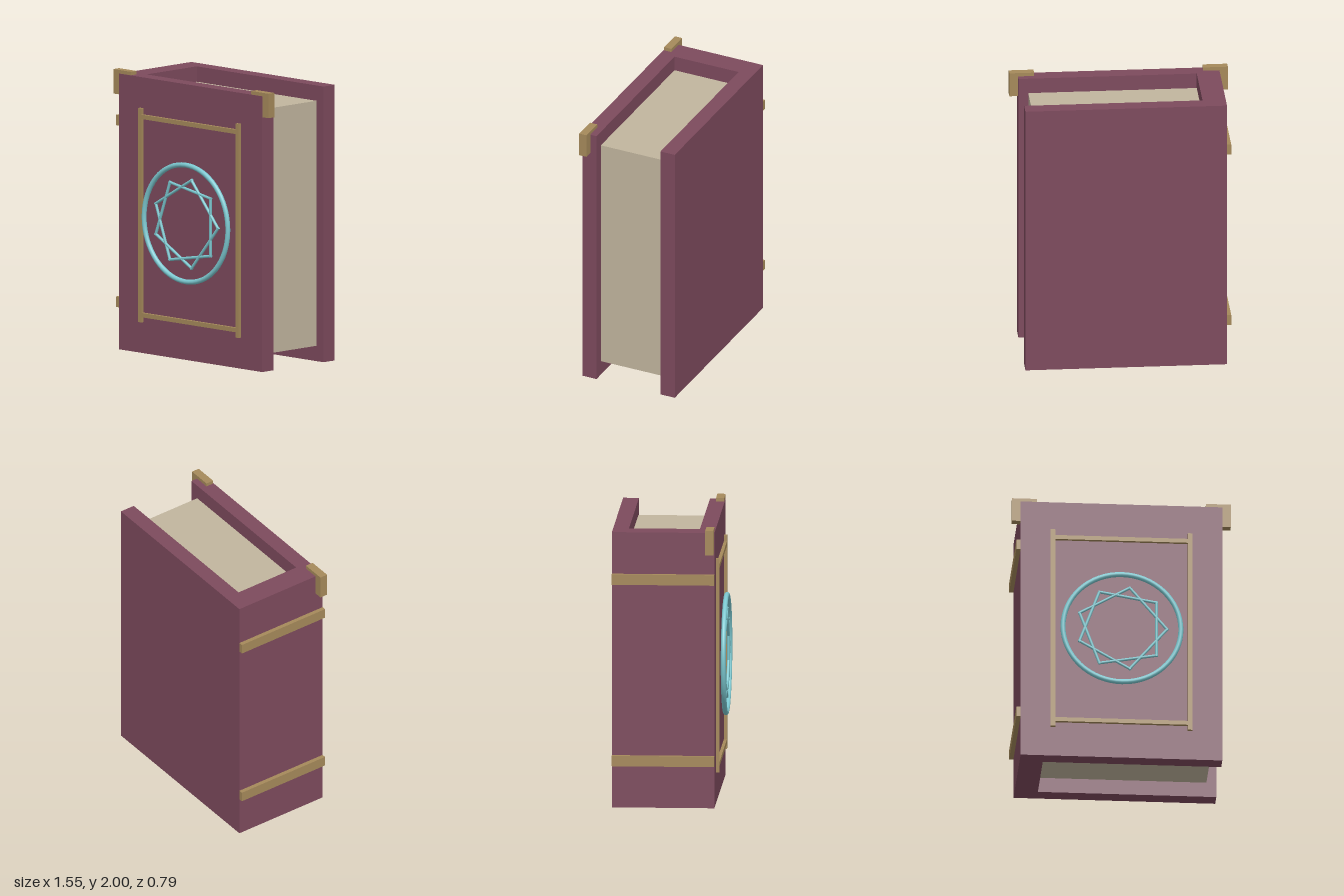
import * as THREE from 'three';

const mat = (name, color) => {
  const m = new THREE.MeshStandardMaterial({ color });
  m.name = name;
  return m;
};

export function createModel() {
  const plum = mat('plum leather', 0x7d4a5d);
  const paper = mat('paper', 0xc1b59e);
  const gold = mat('dull gold', 0xa5895a);
  const teal = mat('pale teal', 0x7cc8d0);

  const book = new THREE.Group();
  book.name = 'book';

  // Box given by its extents along each axis
  const box = (name, material, [x0, x1], [y0, y1], [z0, z1]) => {
    const mesh = new THREE.Mesh(new THREE.BoxGeometry(x1 - x0, y1 - y0, z1 - z0), material);
    mesh.position.set((x0 + x1) / 2, (y0 + y1) / 2, (z0 + z1) / 2);
    mesh.name = name;
    book.add(mesh);
  };

  // Covers, spine and page block
  box('frontCover', plum, [-0.715, 0.715], [0, 1.975], [0.22, 0.331]);
  box('backCover', plum, [-0.715, 0.715], [0, 1.975], [-0.395, -0.283]);
  box('spine', plum, [-0.715, -0.55], [0, 1.975], [-0.283, 0.22]);
  box('pages', paper, [-0.55, 0.645], [0.11, 1.865], [-0.283, 0.22]);

  // Raised bands across the spine
  for (const y of [0.3, 1.602]) {
    box('spineBand', gold, [-0.745, -0.715], [y, y + 0.075], [-0.395, 0.331]);
  }

  // Metal blocks on the upper corners of the front cover
  box('cornerRight', gold, [-0.775, -0.6], [1.825, 2], [0.269, 0.327]);
  box('cornerLeft', gold, [0.6, 0.775], [1.825, 2], [0.269, 0.327]);

  // Frame on the front cover
  for (const x of [-0.503, 0.469]) {
    box('frameUpright', gold, [x, x + 0.034], [0.222, 1.755], [0.331, 0.354]);
  }
  for (const y of [0.26, 1.68]) {
    box('frameRail', gold, [-0.469, 0.469], [y, y + 0.031], [0.331, 0.354]);
  }

  // Emblem: a ring around a nine-pointed star
  const emblem = new THREE.Group();
  emblem.name = 'emblem';
  emblem.position.set(0, 0.988, 0.377);
  book.add(emblem);

  const ring = new THREE.Mesh(new THREE.TorusGeometry(0.418, 0.018, 12, 64), teal);
  ring.name = 'ring';
  emblem.add(ring);

  const star = new THREE.Group();
  star.name = 'star';
  emblem.add(star);
  const radius = 0.32;
  const step = (Math.PI * 2) / 9;
  const length = 2 * radius * Math.sin(step) + 0.016;
  const barGeometry = new THREE.CylinderGeometry(0.0105, 0.0105, length, 8);
  for (let i = 0; i < 9; i++) {
    // Each bar joins every second point, so it lies at right angles to the point between
    const a = i * step;
    const bar = new THREE.Mesh(barGeometry, teal);
    bar.position.set(Math.cos(a), Math.sin(a), 0).multiplyScalar(radius * Math.cos(step));
    bar.rotation.z = a;
    bar.name = 'starBar';
    star.add(bar);
  }

  return book;
}
